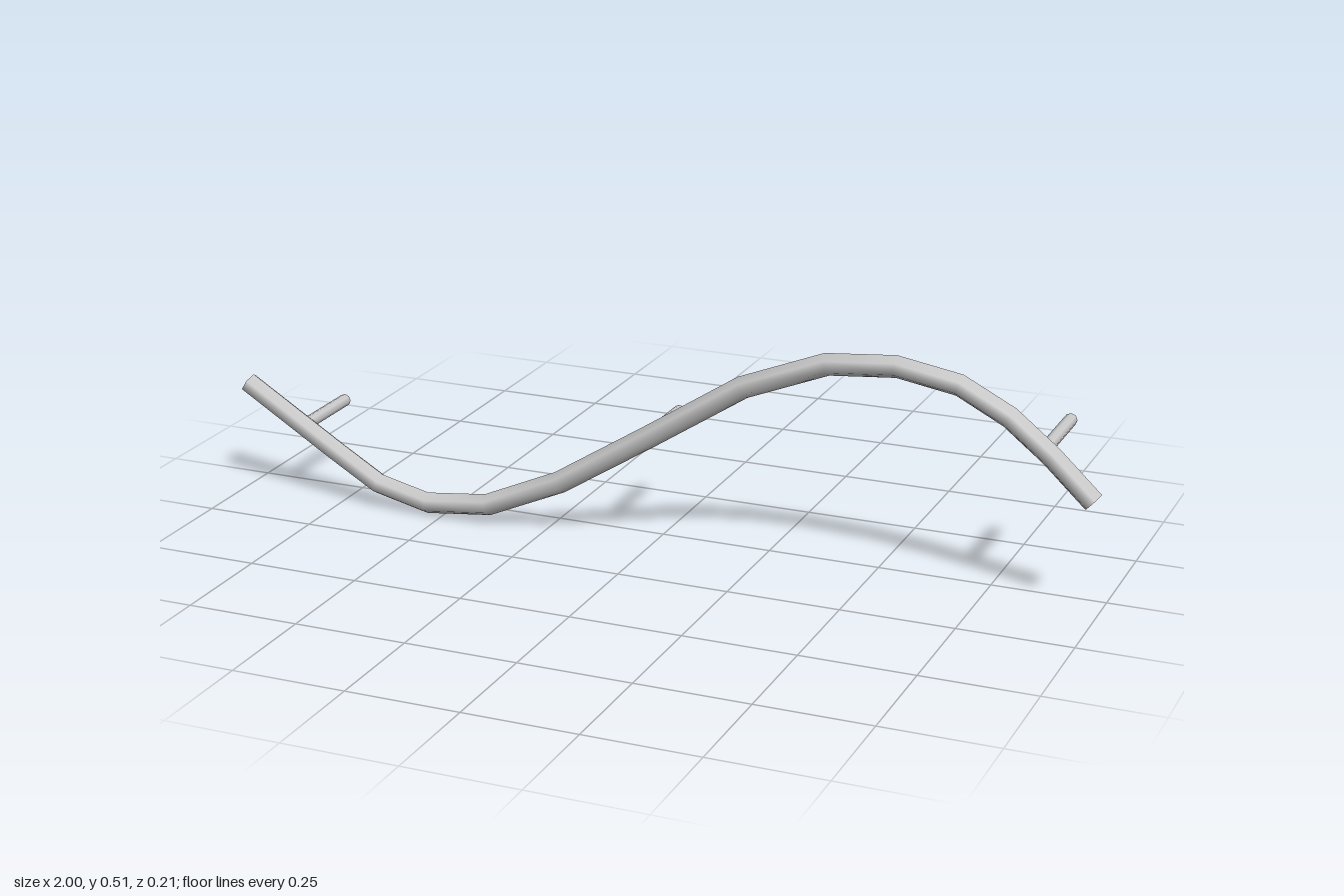
import * as THREE from 'three';

const RAIL_Z = 0.0855, RAIL_R = 0.0247;

// Centreline of the wavy rail in the xy plane
const PATH = [
  [-0.987, 0.252], [-0.767, 0.117], [-0.66, 0.054], [-0.537, 0.0255], [-0.388, 0.043],
  [-0.211, 0.122], [0.003, 0.258], [0.217, 0.398], [0.404, 0.473], [0.556, 0.4875],
  [0.692, 0.465], [0.8, 0.41], [0.89, 0.339], [0.982, 0.2525],
].map(([x, y]) => new THREE.Vector3(x, y, RAIL_Z));

// Capped six-sided cylinder whose rings are moved onto the path
function bentBar(path, radius) {
  const n = path.length - 1;
  const geo = new THREE.CylinderGeometry(radius, radius, n, 6, n);
  geo.translate(0, n / 2, 0);
  const frames = path.map((p, i) => {
    const before = path[Math.max(i - 1, 0)], after = path[Math.min(i + 1, n)];
    const a = p.clone().sub(before).normalize();
    const t = after.clone().sub(p).normalize().add(a).normalize();
    return new THREE.Matrix4().makeBasis(
      new THREE.Vector3(0, 0, 1), t, new THREE.Vector3(-t.y, t.x, 0));
  });
  const pos = geo.attributes.position, nor = geo.attributes.normal;
  const v = new THREE.Vector3();
  for (let k = 0; k < pos.count; k++) {
    const i = Math.round(pos.getY(k));
    v.set(pos.getX(k), 0, pos.getZ(k)).applyMatrix4(frames[i]).add(path[i]);
    pos.setXYZ(k, v.x, v.y, v.z);
    v.fromBufferAttribute(nor, k).applyMatrix4(frames[i]);
    nor.setXYZ(k, v.x, v.y, v.z);
  }
  return geo;
}

export function createModel() {
  const group = new THREE.Group();
  const material = new THREE.MeshStandardMaterial({ color: 0xcccccc });

  const rail = new THREE.Mesh(bentBar(PATH, RAIL_R), material);
  rail.name = 'rail';
  group.add(rail);

  // Mounting pegs running from the rail to the back
  const front = 0.071, back = -0.106;
  const pegGeo = new THREE.CylinderGeometry(0.0142, 0.0142, front - back, 8);
  pegGeo.rotateX(Math.PI / 2);
  const pegs = { rightPeg: [-0.847, 0.168], middlePeg: [-0.005, 0.254], leftPeg: [0.878, 0.354] };
  for (const [name, [x, y]] of Object.entries(pegs)) {
    const peg = new THREE.Mesh(pegGeo, material);
    peg.name = name;
    peg.position.set(x, y, (front + back) / 2);
    group.add(peg);
  }
  return group;
}
